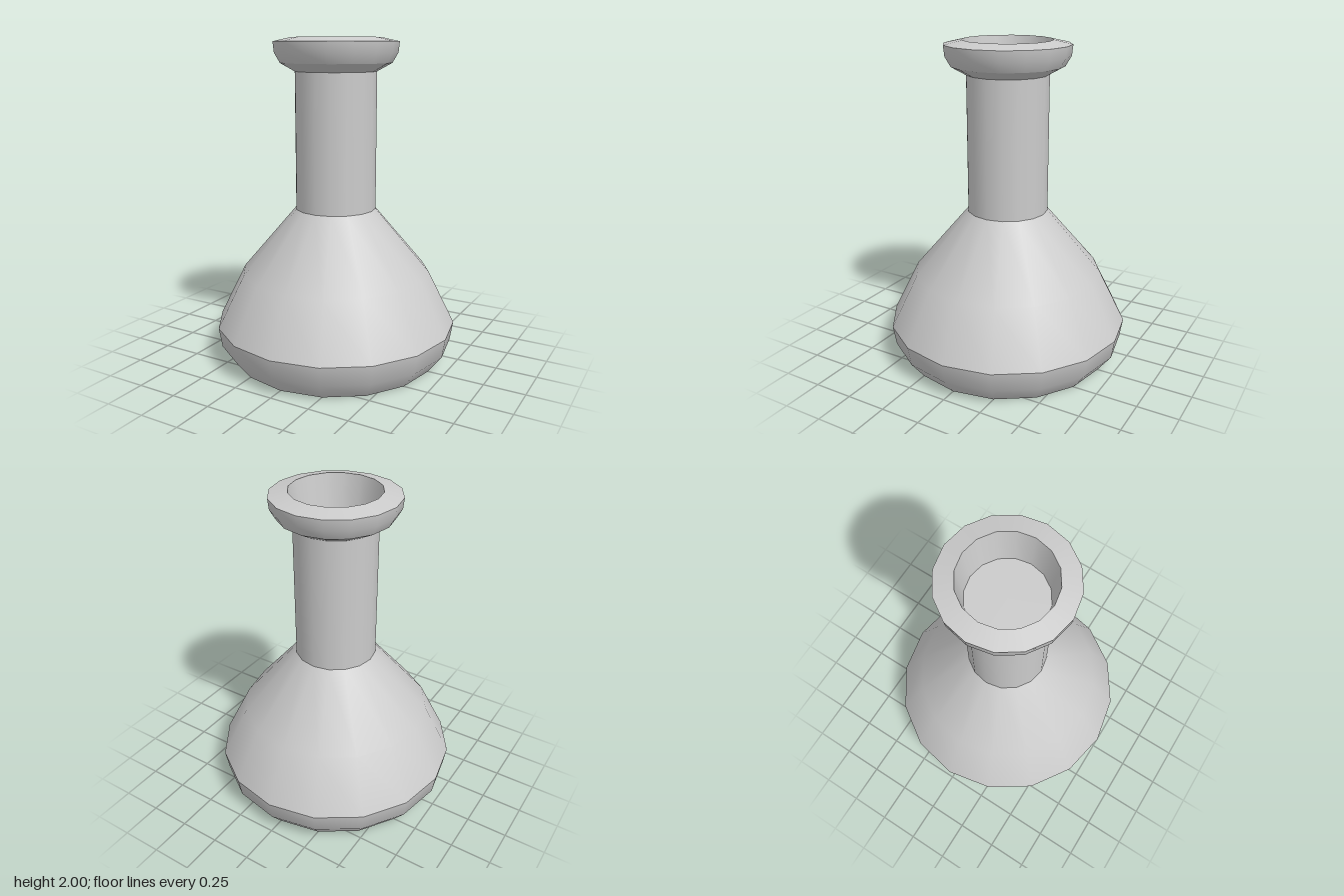
import * as THREE from 'three';

const SIDES = 16;

export function createModel() {
  const flask = new THREE.Group();
  flask.name = 'flask';
  const material = new THREE.MeshStandardMaterial({ color: 0xcccccc });

  // Each band is smooth inside and meets its neighbours at a sharp edge.
  const band = (name, profile) => {
    const points = profile.map(([r, y]) => new THREE.Vector2(r, y));
    const mesh = new THREE.Mesh(new THREE.LatheGeometry(points, SIDES), material);
    mesh.name = name;
    flask.add(mesh);
  };

  // Bulb
  band('bottom', [[0, 0], [0.65, 0]]);
  band('roundedFoot', [[0.65, 0], [0.735, 0.11], [0.755, 0.23]]);
  band('shoulder', [[0.755, 0.23], [0.59, 0.56], [0.25, 0.96]]);

  // Neck
  band('neck', [[0.25, 0.96], [0.25, 1.8]]);

  // Flared lip
  band('lipUnderside', [[0.25, 1.8], [0.34, 1.85]]);
  band('lipSide', [[0.34, 1.85], [0.375, 1.91], [0.382, 1.975]]);
  band('lipTop', [[0.382, 1.975], [0.27, 2]]);

  // Hollow mouth with a closed floor
  band('mouthWall', [[0.27, 2], [0.235, 1.77]]);
  band('mouthFloor', [[0.235, 1.77], [0, 1.77]]);

  return flask;
}
